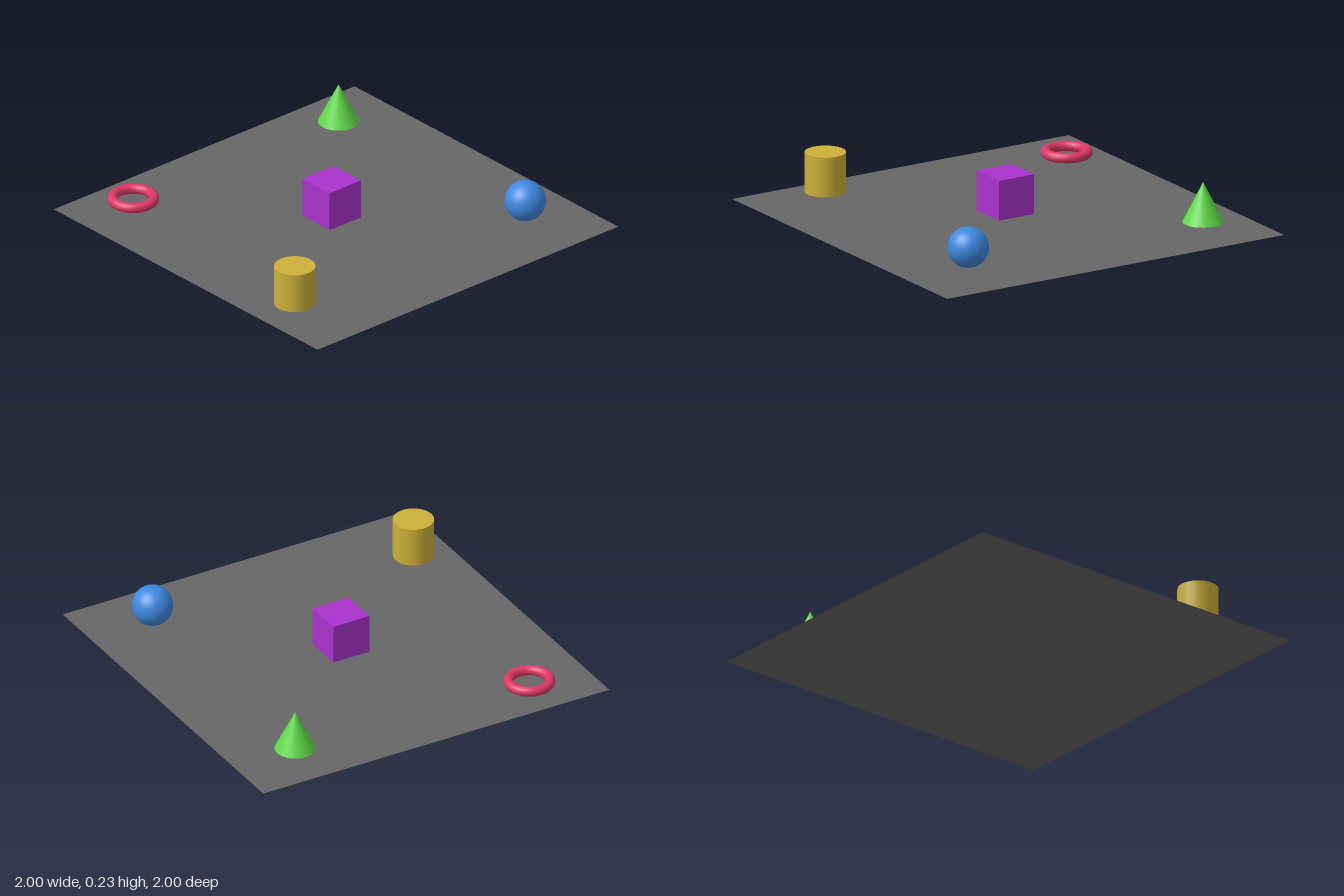
import * as THREE from 'three';

const mat = (name, color, side = THREE.FrontSide) => {
  const m = new THREE.MeshStandardMaterial({ color, side });
  m.name = name;
  return m;
};

export function createModel() {
  const model = new THREE.Group();
  model.name = 'primitiveShapes';

  const add = (name, geometry, material, x, y, z) => {
    const mesh = new THREE.Mesh(geometry, material);
    mesh.name = name;
    mesh.position.set(x, y, z);
    model.add(mesh);
  };

  const R = 0.104; // shared radius of the solids

  // Flat square ground sheet, seen from both sides
  add('groundPlane', new THREE.PlaneGeometry(2, 2).rotateX(-Math.PI / 2),
    mat('darkGrey', 0x666666, THREE.DoubleSide), 0, 0, 0);

  // Solids hovering just above the sheet
  add('cube', new THREE.BoxGeometry(2 * R, 2 * R, 2 * R),
    mat('purple', 0xaa33cc), -0.027, 0.122, -0.002);
  add('sphere', new THREE.SphereGeometry(R, 32, 24),
    mat('blue', 0x3d88dd), 0.674, 0.13, 0.667);
  add('cylinder', new THREE.CylinderGeometry(R, R, 2 * R, 32),
    mat('yellow', 0xccb038), -0.785, 0.13, 0.582);
  add('cone', new THREE.ConeGeometry(R, 2 * R, 32),
    mat('green', 0x5fd848), 0.662, 0.13, -0.735);

  // Ring lying flat
  add('ring', new THREE.TorusGeometry(R, 0.026, 16, 48).rotateX(Math.PI / 2),
    mat('pinkRed', 0xdd3866), -0.668, 0.036, -0.776);

  return model;
}
